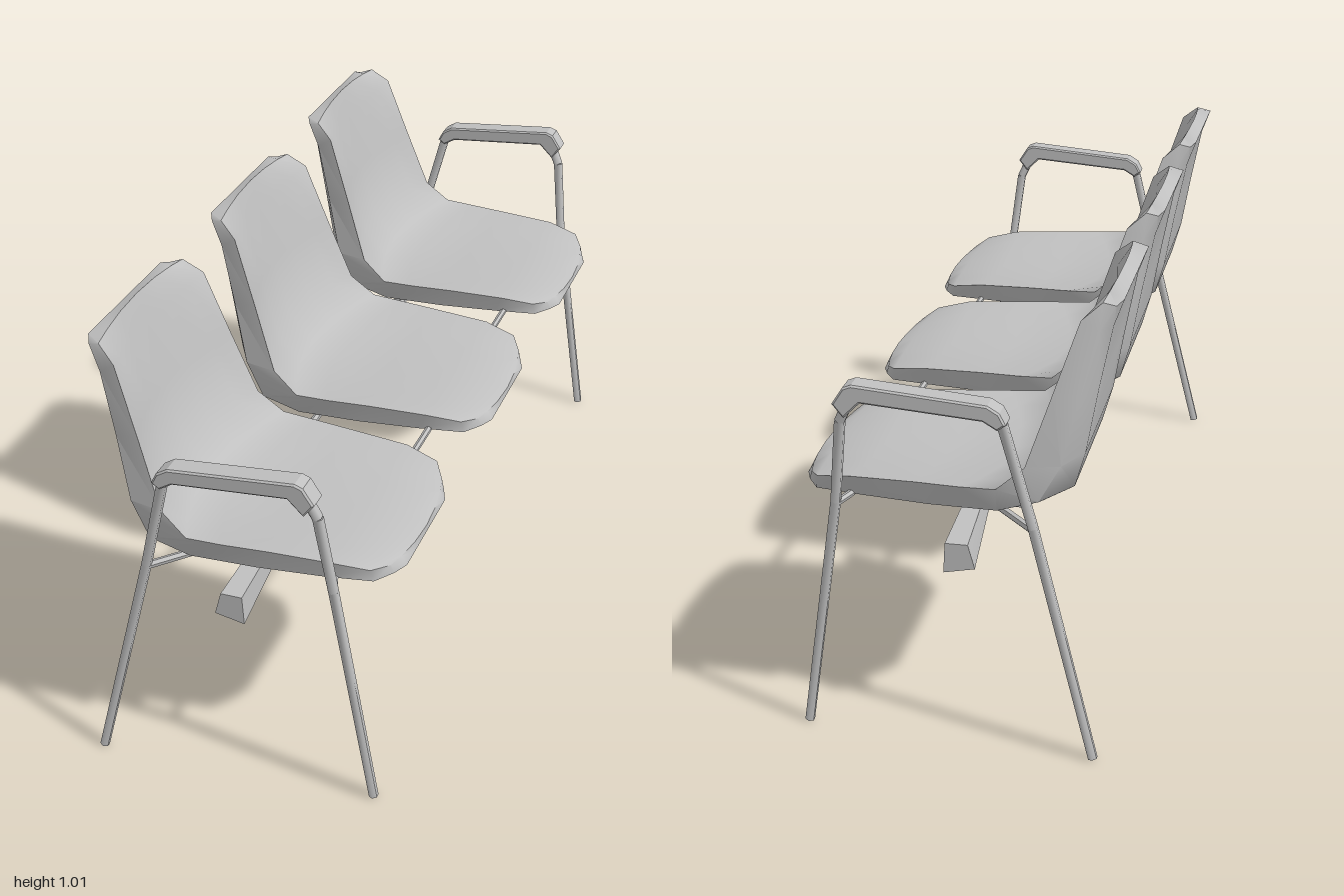
import * as THREE from 'three';
import { toCreasedNormals } from 'three/addons/utils/BufferGeometryUtils.js';

const grey = new THREE.MeshStandardMaterial({ color: 0xc0c0c0 });
grey.name = 'light grey';

function mesh(name, geometry, parent) {
  const m = new THREE.Mesh(geometry, grey);
  m.name = name;
  parent.add(m);
  return m;
}

// Closed loft through equal rings; each ring is a list of [x, y, z].
// The first half of a ring is its upper face, the second half its lower face.
function loft(rings, crease) {
  const n = rings[0].length, pos = rings.flat(2), idx = [];
  const last = (rings.length - 1) * n;
  for (let j = 0; j < rings.length - 1; j++) {
    for (let i = 0; i < n; i++) {
      const a = j * n + i, b = j * n + (i + 1) % n;
      idx.push(a, b, a + n, b, b + n, a + n);
    }
  }
  for (let k = 0; k < n / 2 - 1; k++) {
    const a = k, b = k + 1, d = n - 1 - k, e = n - 2 - k;
    idx.push(a, d, b, b, d, e);
    idx.push(last + a, last + b, last + d, last + b, last + e, last + d);
  }
  const g = new THREE.BufferGeometry();
  g.setAttribute('position', new THREE.Float32BufferAttribute(pos, 3));
  g.setIndex(idx);
  return toCreasedNormals(g, crease);
}

// Chain of straight tapered bars through the points
function bars(name, points, r0, r1, parent, sides = 6) {
  const group = new THREE.Group();
  group.name = name;
  const n = points.length - 1;
  for (let i = 0; i < n; i++) {
    const a = new THREE.Vector3(...points[i]), b = new THREE.Vector3(...points[i + 1]);
    const dir = b.clone().sub(a);
    const radius = t => r0 + (r1 - r0) * t / n;
    const g = new THREE.CylinderGeometry(radius(i + 1), radius(i), dir.length(), sides);
    const m = mesh(name + 'Section', toCreasedNormals(g, 1.2), group);
    m.position.copy(a).add(b).multiplyScalar(0.5);
    m.quaternion.setFromUnitVectors(new THREE.Vector3(0, 1, 0), dir.normalize());
  }
  parent.add(group);
}

// Outline in x,y given a depth along z, centred on z, with optional bevelled edges
function plate(name, outline, depth, z, parent, bevel = 0) {
  const shape = new THREE.Shape(outline.map(p => new THREE.Vector2(...p)));
  const g = new THREE.ExtrudeGeometry(shape, {
    depth: depth - 2 * bevel, bevelEnabled: bevel > 0, bevelSegments: 1,
    bevelSize: bevel, bevelThickness: bevel, bevelOffset: -bevel,
  });
  g.translate(0, 0, z - depth / 2 + bevel);
  return mesh(name, g, parent);
}

// Shell sections from the top of the back to the front of the seat:
// centre x, y; rim x, y; half width; wall edge x, y; underside x, y; underside half width
const SECTIONS = [
  [-0.322, 1.014, -0.31, 1.0, 0.213, -0.337, 0.992, -0.35, 1.0, 0.2],
  [-0.3, 0.94, -0.268, 0.965, 0.232, -0.306, 0.94, -0.328, 0.94, 0.2],
  [-0.266, 0.8, -0.215, 0.81, 0.25, -0.27, 0.8, -0.3, 0.8, 0.21],
  [-0.225, 0.66, -0.16, 0.65, 0.272, -0.235, 0.655, -0.275, 0.66, 0.215],
  [-0.165, 0.592, -0.1, 0.6, 0.282, -0.19, 0.575, -0.252, 0.58, 0.21],
  [-0.09, 0.574, -0.02, 0.597, 0.276, -0.1, 0.545, -0.18, 0.535, 0.2],
  [0.05, 0.574, 0.08, 0.595, 0.265, 0.05, 0.542, -0.03, 0.538, 0.19],
  [0.2, 0.578, 0.22, 0.59, 0.252, 0.2, 0.545, 0.18, 0.546, 0.21],
  [0.31, 0.57, 0.3, 0.575, 0.23, 0.305, 0.543, 0.31, 0.543, 0.19],
  [0.35, 0.555, 0.328, 0.562, 0.18, 0.335, 0.54, 0.35, 0.538, 0.15],
];

function shellGeometry() {
  const us = [-1, -0.75, -0.4, 0, 0.4, 0.75, 1];
  const rings = SECTIONS.map(([cx, cy, rx, ry, w, sx, sy, bx, by, bw]) => {
    const top = us.map(u => [cx + (rx - cx) * u * u, cy + (ry - cy) * u * u, u * w]);
    const under = us.map(u => Math.abs(u) === 1
      ? [sx, sy, -u * w * 0.965]
      : [bx, by, -u * bw * 1.2]);
    return [...top, ...under];
  });
  return loft(rings, 0.95);
}

export function createModel() {
  const model = new THREE.Group();
  model.name = 'beamSeating';
  const shell = shellGeometry();

  // Three seats in a row, each on its mount
  for (const z of [-0.645, 0, 0.645]) {
    const seat = new THREE.Group();
    seat.name = 'seat';
    seat.position.z = z;
    model.add(seat);
    mesh('seatShell', shell, seat);

    // trough-shaped mount below the back of the seat
    const mount = plate('seatMount',
      [[-0.2, 0.54], [-0.2, 0.525], [-0.07, 0.478], [0.07, 0.478], [0.2, 0.525], [0.2, 0.54]],
      0.09, 0, seat);
    mount.rotation.y = Math.PI / 2;
    mount.position.x = -0.1;

    // V bracket and cross struts
    plate('vBracket', [[-0.075, 0.515], [-0.06, 0.545], [0, 0.478], [0.04, 0.545],
      [0.055, 0.515], [0.012, 0.46], [-0.012, 0.46]], 0.13, 0, seat);
    for (const s of [-1, 1]) {
      bars('crossStrut', [[-0.06, 0.53, s * 0.18], [0.03, 0.51, s * 0.1],
        [0.22, 0.543, s * 0.18]], 0.009, 0.009, seat, 4);
    }
  }

  // Long rails that bend out to the legs
  bars('rearRail', [[-0.185, 0.525, -0.95], [-0.058, 0.53, -0.82],
    [-0.058, 0.535, 0], [-0.058, 0.53, 0.82], [-0.185, 0.525, 0.95]], 0.009, 0.009, model);
  bars('frontRail', [[0.24, 0.545, -0.938], [0.222, 0.545, -0.88],
    [0.222, 0.545, 0.88], [0.24, 0.545, 0.938]], 0.008, 0.008, model);

  for (const s of [-1, 1]) {
    const end = new THREE.Group();
    end.name = s > 0 ? 'leftEndFrame' : 'rightEndFrame';
    model.add(end);

    // Legs
    bars('rearLeg', [[-0.318, 0.003, s * 0.964], [-0.185, 0.53, s * 0.95],
      [-0.125, 0.765, s * 0.968], [-0.1, 0.797, s * 0.972]], 0.011, 0.013, end);
    bars('frontLeg', [[0.325, 0.003, s * 0.924], [0.241, 0.55, s * 0.938],
      [0.218, 0.745, s * 0.962], [0.188, 0.81, s * 0.972]], 0.011, 0.013, end);

    // Armrest pad
    plate('armrest', [[-0.138, 0.775], [-0.12, 0.762], [-0.09, 0.78], [0.165, 0.8],
      [0.2, 0.765], [0.224, 0.795], [0.2, 0.832], [0.182, 0.839], [-0.1, 0.815],
      [-0.125, 0.8]], 0.052, s * 0.974, end, 0.004);

    // Tapered arm reaching outwards under the end seat
    const inner = [[-0.022, 0.485], [0.012, 0.485], [0.014, 0.455], [-0.026, 0.455]];
    const outer = [[-0.035, 0.455], [0.015, 0.455], [0.019, 0.386], [-0.05, 0.4]];
    const ring = (corners, z) => corners.map(([x, y]) => [x, y, z]);
    const rings = [ring(inner, s * 0.58), ring(outer, s * 0.905)];
    rings.sort((a, b) => b[0][2] - a[0][2]);
    mesh('taperedArm', loft(rings, 0.3), end);
  }
  return model;
}
